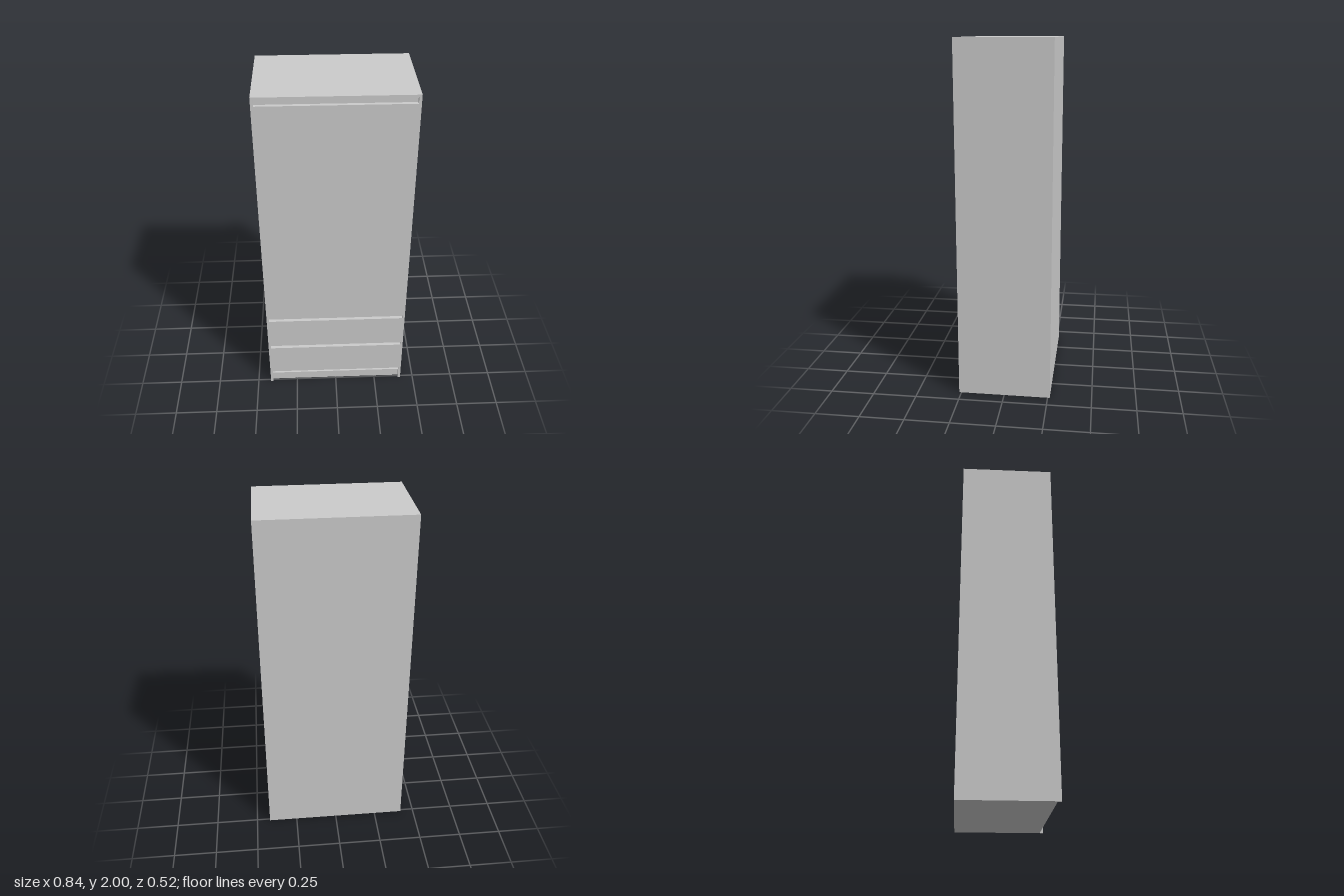
import * as THREE from 'three';

export function createModel() {
  const group = new THREE.Group();
  const material = new THREE.MeshStandardMaterial({ color: 0xcccccc, flatShading: true });

  const W = 0.84, D = 0.525, H = 2;
  const side = 0.015;   // side panel thickness
  const recess = 0.02;  // depth of the grip gaps and the plinth
  const innerW = W - 2 * side;

  const addBox = (name, x0, x1, y0, y1, z0, z1) => {
    const mesh = new THREE.Mesh(new THREE.BoxGeometry(x1 - x0, y1 - y0, z1 - z0), material);
    mesh.position.set((x0 + x1) / 2, (y0 + y1) / 2, (z0 + z1) / 2);
    mesh.name = name;
    group.add(mesh);
  };

  // Side panels run the full height and depth
  addBox('leftSide', W / 2 - side, W / 2, 0, H, -D / 2, D / 2);
  addBox('rightSide', -W / 2, -W / 2 + side, 0, H, -D / 2, D / 2);

  // Cabinet body, whose front shows as the back of every gap and as the plinth
  addBox('cabinetBody', -innerW / 2, innerW / 2, 0, H, -D / 2, D / 2 - recess);

  // Front panels, flush with the sides and separated by the grip gaps
  const fronts = [
    ['bottomRail', 0.068, 0.077],
    ['lowerDrawerFront', 0.089, 0.297],
    ['upperDrawerFront', 0.319, 0.523],
    ['door', 0.545, 1.952],
    ['topRail', 1.989, H],
  ];
  for (const [name, y0, y1] of fronts) {
    addBox(name, -innerW / 2, innerW / 2, y0, y1, D / 2 - recess, D / 2);
  }

  return group;
}
